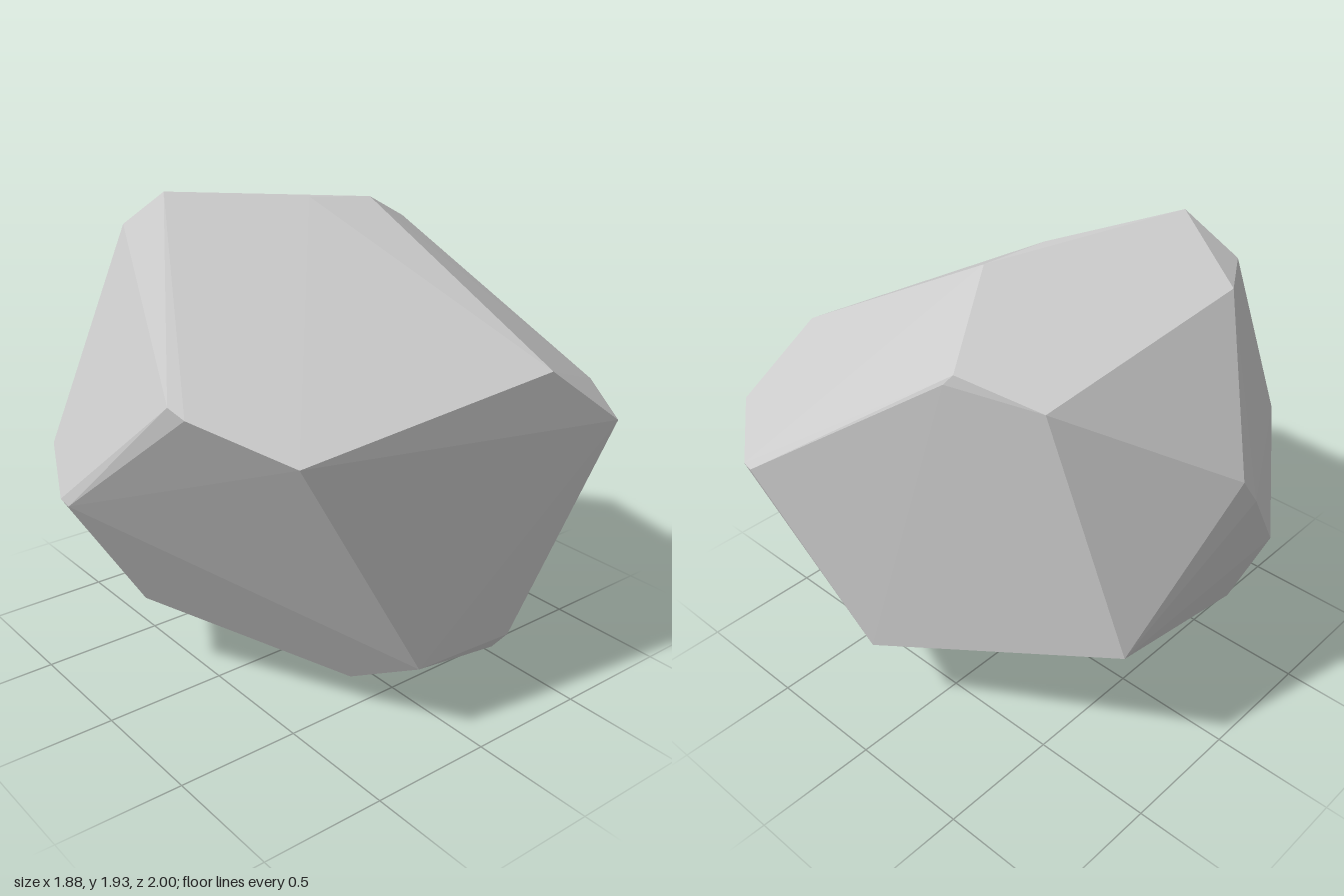
import * as THREE from 'three';
import { ConvexGeometry } from 'three/addons/geometries/ConvexGeometry.js';

// Corners of the faceted boulder, grouped by region
const corners = {
  crown: [[-0.31, 1.93, 0.47], [-0.52, 1.78, 0.53], [-0.65, 1.78, 0.32], [-0.06, 1.89, -0.02], [0, 1.87, -0.27]],
  front: [[0.39, 1.39, 0.92], [0.46, 1.36, 0.9], [-0.22, 0.83, 1], [-0.28, 0.84, 1], [-0.53, 0.96, 0.89], [-0.21, 0.34, 0.7]],
  leftSide: [[0.77, 1.23, 0.67], [0.89, 1.37, -0.38], [0.94, 1.12, -0.71], [0.87, 0.33, -0.25], [0.84, 0.28, -0.2], [0.82, 0.31, 0.16]],
  rightSide: [[-0.94, 1.08, 0.16], [-0.93, 1.2, 0.08], [-0.86, 0.7, 0.44], [-0.76, 0.41, 0.33], [-0.86, 0.86, -0.25]],
  back: [[-0.25, 1.7, -0.67], [-0.22, 1.66, -0.69], [-0.55, 1.62, -0.55], [0.52, 1.12, -1], [0.57, 1.12, -0.99], [0.11, 0.38, -0.83], [-0.83, 0.64, -0.43]],
  base: [[0.42, 0, -0.2], [0.46, 0.03, -0.37], [0.5, 0.14, 0.22], [0.1, 0.1, 0], [-0.55, 0.27, 0.42]],
};

export function createModel() {
  const group = new THREE.Group();
  group.name = 'rock';

  // Solid stone: the convex hull of its corners, with hard facets
  const points = Object.values(corners).flat().map((p) => new THREE.Vector3(...p));
  const boulder = new THREE.Mesh(
    new ConvexGeometry(points),
    new THREE.MeshStandardMaterial({ color: 0xcccccc, flatShading: true })
  );
  boulder.name = 'boulder';
  group.add(boulder);
  return group;
}
